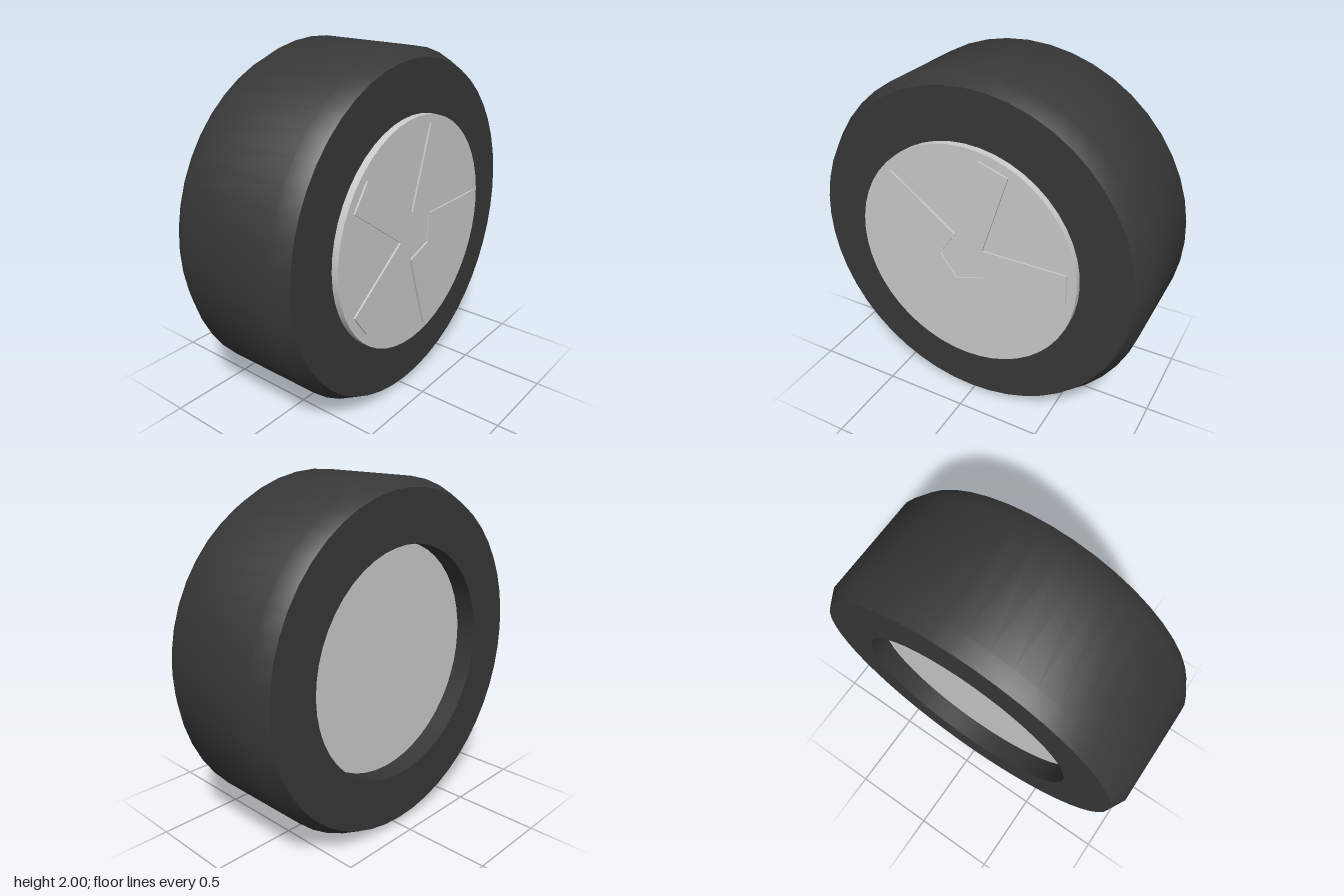
import * as THREE from 'three';
import { toCreasedNormals } from 'three/addons/utils/BufferGeometryUtils.js';

const SEGMENTS = 48;
const RIM_RADIUS = 0.66;

export function createModel() {
  const wheel = new THREE.Group();
  wheel.name = 'wheel';
  const rubber = new THREE.MeshStandardMaterial({ color: 0x383838 });
  const metal = new THREE.MeshStandardMaterial({ color: 0xcccccc });

  const add = (name, geometry, material) => {
    const mesh = new THREE.Mesh(geometry, material);
    mesh.name = name;
    mesh.position.y = 1;
    wheel.add(mesh);
    return mesh;
  };

  // Tire: closed ring profile with chamfered shoulders, turned about the z axis
  const profile = [
    [RIM_RADIUS, -0.42], [0.95, -0.42], [1, -0.325], [1, 0.275],
    [0.95, 0.37], [RIM_RADIUS, 0.37], [RIM_RADIUS, -0.42],
  ].map(([r, z]) => new THREE.Vector2(r, z));
  const tire = new THREE.LatheGeometry(profile, SEGMENTS).rotateX(Math.PI / 2);
  add('tire', toCreasedNormals(tire, 0.6), rubber);

  // Rim: solid disc, proud of the tire in front and recessed at the back
  const rimBack = -0.3, rimFront = 0.41;
  const rim = new THREE.CylinderGeometry(RIM_RADIUS, RIM_RADIUS, rimFront - rimBack, SEGMENTS)
    .rotateX(Math.PI / 2)
    .translate(0, 0, (rimFront + rimBack) / 2);
  add('rim', rim, metal);

  // Five raised spokes whose inner ends enclose a pentagonal recess
  const inner = 0.118, outer = 0.607;
  for (let i = 0; i < 5; i++) {
    const spoke = new THREE.BoxGeometry(outer - inner, 0.175, 0.04)
      .translate((inner + outer) / 2, 0, 0.40);
    add(`spoke${i + 1}`, spoke, metal).rotation.z = (i * 2 * Math.PI) / 5;
  }
  return wheel;
}
